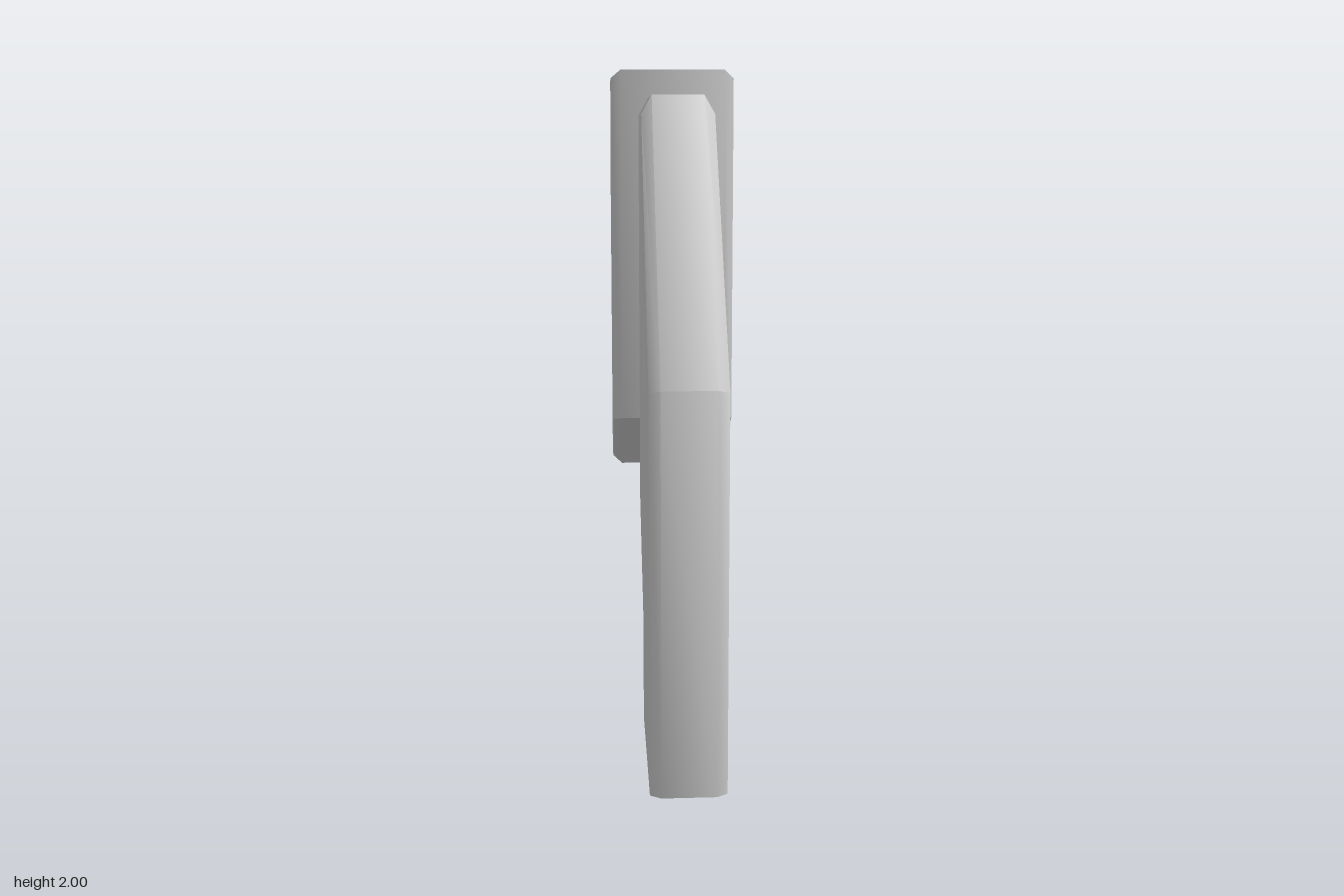
import * as THREE from 'three';
import { toCreasedNormals } from 'three/addons/utils/BufferGeometryUtils.js';

const material = new THREE.MeshStandardMaterial({ color: 0xcccccc, side: THREE.DoubleSide });

// Chamfered slab: a [z, y] rim outline and a matching inset side outline, lofted along x.
// With openBottom, the last rim edge (closing the loop) is left out.
function chamferedSlab(name, rim, side, rimHalf, sideHalf, openBottom) {
  const n = rim.length;
  const rings = [[side, -sideHalf], [rim, -rimHalf], [rim, rimHalf], [side, sideHalf]];
  const positions = [];
  const index = [];
  for (const [outline, x] of rings) {
    for (const [z, y] of outline) positions.push(x, y, z);
  }

  // Rim and chamfer strips
  for (let r = 0; r < rings.length - 1; r++) {
    for (let j = 0; j < (openBottom ? n - 1 : n); j++) {
      const a = r * n + j, b = r * n + (j + 1) % n;
      index.push(a, a + n, b, b, a + n, b + n);
    }
  }

  // Flat sides
  const contour = side.map(([z, y]) => new THREE.Vector2(z, y));
  for (const [a, b, c] of THREE.ShapeUtils.triangulateShape(contour, [])) {
    index.push(a, b, c, 3 * n + a, 3 * n + c, 3 * n + b);
  }

  const geometry = new THREE.BufferGeometry();
  geometry.setAttribute('position', new THREE.Float32BufferAttribute(positions, 3));
  geometry.setIndex(index);
  const mesh = new THREE.Mesh(toCreasedNormals(geometry, 0.7), material);
  mesh.name = name;
  return mesh;
}

export function createModel() {
  const group = new THREE.Group();
  group.name = 'bracketWithPad';

  // Sloped upright arm, hollow and open underneath
  group.add(chamferedSlab(
    'arm',
    [[0.665, 0], [0.665, 1.14], [0.09, 1.915], [-0.21, 1.915], [-0.21, 0.63], [0.095, 0.32], [0.095, 0]],
    [[0.645, 0], [0.645, 1.13], [0.1, 1.86], [-0.21, 1.86], [-0.207, 0.635], [0.1, 0.326], [0.1, 0]],
    0.077, 0.108, true
  ));

  // Wider pad behind the arm
  group.add(chamferedSlab(
    'pad',
    [[-0.213, 0.895], [-0.213, 2], [-0.45, 2], [-0.665, 1.78], [-0.665, 0.692], [-0.448, 0.692]],
    [[-0.237, 0.89], [-0.237, 1.975], [-0.445, 1.975], [-0.64, 1.768], [-0.64, 0.72], [-0.448, 0.72]],
    0.163, 0.193, false
  ));

  return group;
}
